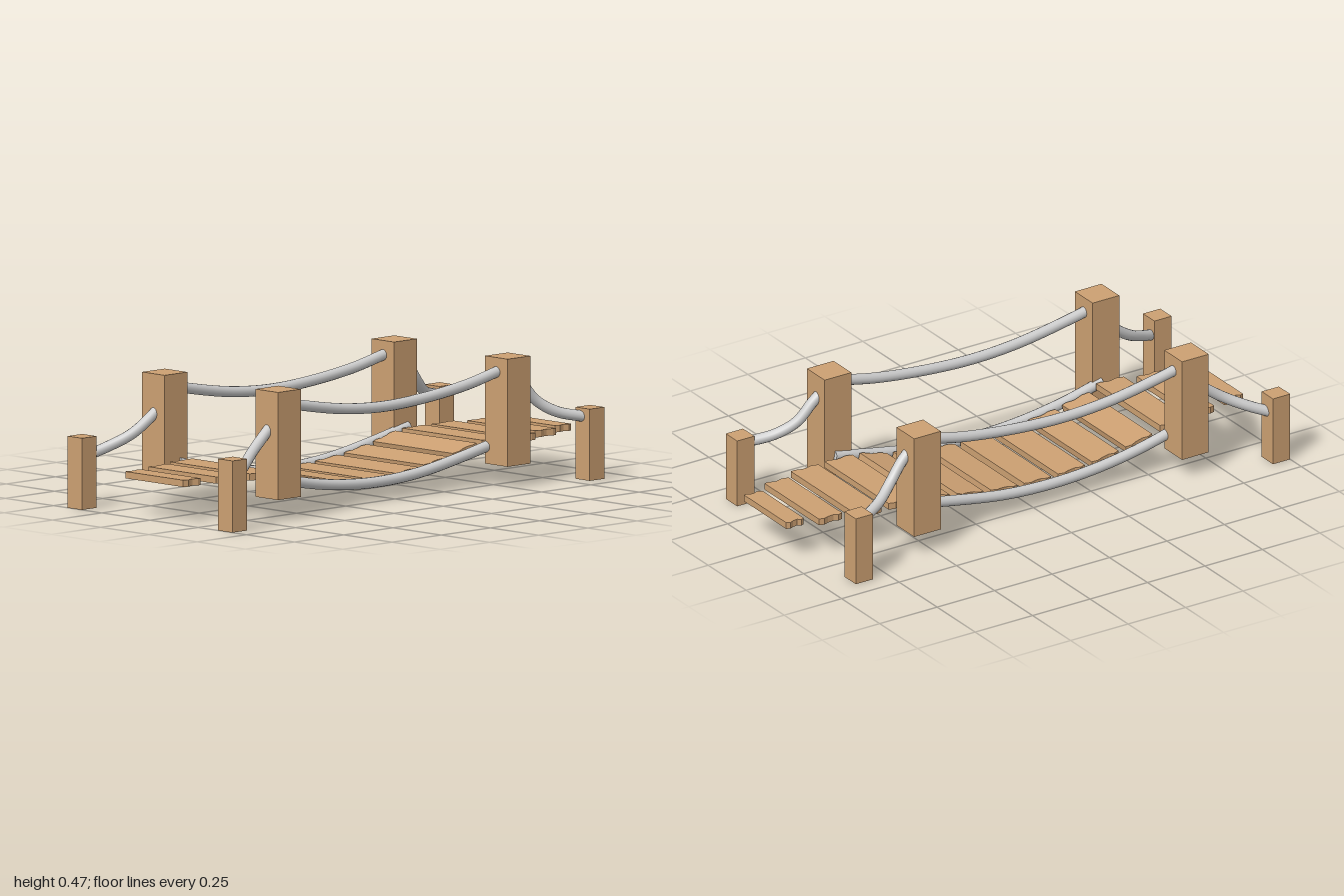
import * as THREE from 'three';

const wood = new THREE.MeshStandardMaterial({ color: 0xcca072 });
wood.name = 'wood';
const ropeGrey = new THREE.MeshStandardMaterial({ color: 0xcccccc });
ropeGrey.name = 'ropeGrey';

const ROPE_RADIUS = 0.02;
// Height of the hanging walkway along its length
const sag = z => 0.07 + 0.258 * (z - 0.08) ** 2;

function add(parent, name, geometry, material, x = 0, y = 0, z = 0) {
  const mesh = new THREE.Mesh(geometry, material);
  mesh.name = name;
  mesh.position.set(x, y, z);
  parent.add(mesh);
  return mesh;
}

// Rope through [x, y, z] points, closed with a disc at each end
function addRope(parent, name, points) {
  const curve = new THREE.CatmullRomCurve3(points.map(p => new THREE.Vector3(...p)));
  const rope = new THREE.Group();
  rope.name = name;
  add(rope, 'strand', new THREE.TubeGeometry(curve, 28, ROPE_RADIUS, 14), ropeGrey);
  for (const [t, dir] of [[0, -1], [1, 1]]) {
    const p = curve.getPoint(t);
    const cap = add(rope, 'ropeEnd', new THREE.CircleGeometry(ROPE_RADIUS, 14), ropeGrey, p.x, p.y, p.z);
    cap.lookAt(p.clone().addScaledVector(curve.getTangent(t), dir));
  }
  parent.add(rope);
}

// Plank with roughly sawn ends: [inset, fraction of depth]
const LEFT_EDGE = [[0.007, 0.5], [0, 0.3], [0.007, 0.1], [0.009, -0.15], [0, -0.32], [0.005, -0.5]];
const RIGHT_EDGE = [[0.009, -0.5], [0.002, -0.25], [0.008, -0.05], [0.009, 0.1], [0, 0.34], [0.002, 0.5]];
function plankGeometry(halfWidth, depth) {
  const corners = [
    ...LEFT_EDGE.map(([inset, f]) => new THREE.Vector2(inset - halfWidth, f * depth)),
    ...RIGHT_EDGE.map(([inset, f]) => new THREE.Vector2(halfWidth - inset, f * depth)),
  ];
  const geometry = new THREE.ExtrudeGeometry(new THREE.Shape(corners), { depth: 0.025, bevelEnabled: false });
  geometry.translate(0, 0, -0.0125);
  geometry.rotateX(-Math.PI / 2);
  return geometry;
}

export function createModel() {
  const model = new THREE.Group();
  model.name = 'ropeBridge';

  // Walkway: [z centre, half width, depth]
  const planks = [[-0.963, 0.143, 0.075], [-0.835, 0.183, 0.1]];
  for (let i = 0; i < 10; i++) planks.push([-0.692 + i * 0.1476, 0.214, 0.116]);
  planks.push([0.784, 0.182, 0.1], [0.936, 0.157, 0.08]);
  const walkway = new THREE.Group();
  walkway.name = 'walkway';
  for (const [z, halfWidth, depth] of planks) {
    const hanging = sag(z) < 0.1475;
    const plank = add(walkway, 'plank', plankGeometry(halfWidth, depth), wood, 0, hanging ? sag(z) : 0.1475, z);
    if (hanging) plank.rotation.x = -Math.atan(0.516 * (z - 0.08));
  }
  model.add(walkway);

  for (const s of [-1, 1]) {
    const side = new THREE.Group();
    side.name = s > 0 ? 'leftSide' : 'rightSide';

    // Posts
    for (const z of [0.637, -0.529])
      add(side, 'tallPost', new THREE.BoxGeometry(0.117, 0.395, 0.116), wood, s * 0.294, 0.277, z);
    for (const z of [0.9625, -0.853])
      add(side, 'shortPost', new THREE.BoxGeometry(0.075, 0.263, 0.075), wood, s * 0.39, 0.1315, z);

    // Ropes spanning the bridge
    addRope(side, 'handRope', [
      [0.294, 0.428, 0.637], [0.294, 0.405, 0.53], [0.294, 0.367, 0.3], [0.294, 0.355, 0.1],
      [0.294, 0.364, -0.1], [0.294, 0.39, -0.32], [0.294, 0.421, -0.47], [0.294, 0.433, -0.53],
    ].map(([x, y, z]) => [s * x, y, z]));
    addRope(side, 'deckRope', [0.62, 0.45, 0.27, 0.08, -0.12, -0.34, -0.545]
      .map(z => [s * 0.24, Math.min(sag(z), 0.157), z]));

    // Ropes from the tall posts out to the short posts
    addRope(side, 'frontGuideRope', [
      [0.294, 0.365, 0.645], [0.295, 0.325, 0.695], [0.312, 0.262, 0.785], [0.352, 0.219, 0.87], [0.39, 0.188, 0.95],
    ].map(([x, y, z]) => [s * x, y, z]));
    addRope(side, 'backGuideRope', [
      [0.29, 0.41, -0.55], [0.294, 0.368, -0.6], [0.306, 0.3, -0.66], [0.34, 0.255, -0.73], [0.39, 0.228, -0.84],
    ].map(([x, y, z]) => [s * x, y, z]));
    model.add(side);
  }
  return model;
}
